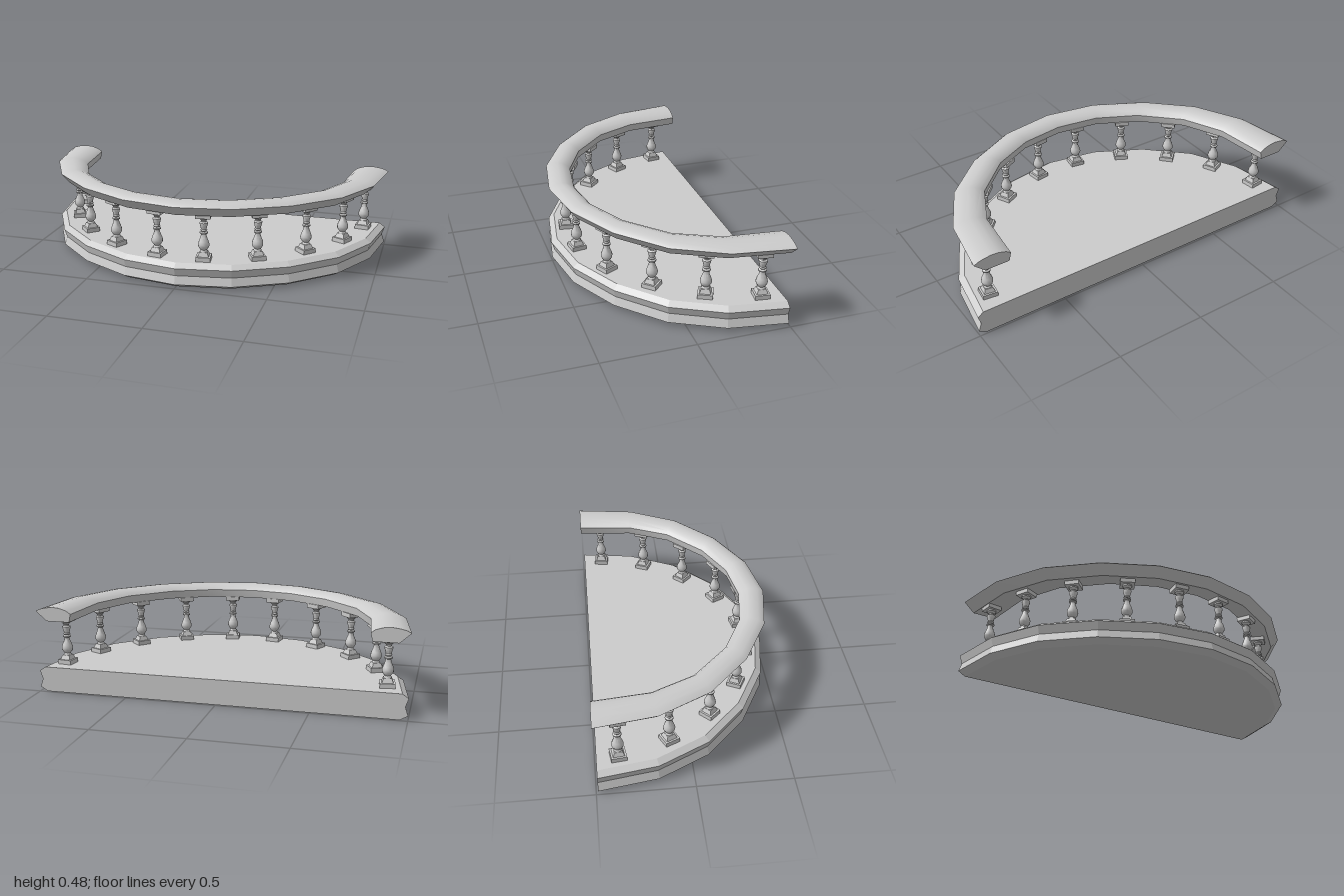
import * as THREE from 'three';
import { toCreasedNormals } from 'three/addons/utils/BufferGeometryUtils.js';

const material = new THREE.MeshStandardMaterial({ color: 0xcccccc });
const flat = new THREE.MeshStandardMaterial({ color: 0xcccccc, flatShading: true });

// Half plan curves [x, z], from the middle of the front to the back corner
const OUTER = [[0, 0.5], [0.3, 0.45], [0.58, 0.305], [0.81, 0.09], [0.95, -0.18], [1, -0.5]];
const INNER = [[0, 0.36], [0.24, 0.325], [0.465, 0.215], [0.665, 0.025], [0.77, -0.2], [0.8, -0.5]];

// Full curve running from the -x end round the front to the +x end
const mirrored = (half) => [
  ...half.slice(1).reverse().map(([x, z]) => [-x, z]),
  ...half,
];

// Skin closed convex rings and cap both ends
function loft(rings) {
  const n = rings[0].length;
  const pos = [];
  const tri = (a, b, c) => pos.push(...a, ...b, ...c);
  for (let i = 0; i < rings.length - 1; i++) {
    for (let j = 0; j < n; j++) {
      const k = (j + 1) % n;
      const [p, q] = [rings[i], rings[i + 1]];
      tri(p[j], p[k], q[k]);
      tri(p[j], q[k], q[j]);
    }
  }
  const first = rings[0];
  const last = rings[rings.length - 1];
  for (let j = 1; j < n - 1; j++) {
    tri(first[0], first[j + 1], first[j]);
    tri(last[0], last[j], last[j + 1]);
  }
  const g = new THREE.BufferGeometry();
  g.setAttribute('position', new THREE.Float32BufferAttribute(pos, 3));
  g.computeVertexNormals();
  return g;
}

function add(parent, name, geometry, mat = material, y = 0) {
  const mesh = new THREE.Mesh(geometry, mat);
  mesh.name = name;
  mesh.position.y = y;
  parent.add(mesh);
  return mesh;
}

// Half-round slab with a grooved edge: [height, plan scale]
function floorSlab() {
  const back = -0.49;
  const profile = [[0, 0.96], [0.024, 1], [0.07, 0.985], [0.115, 1], [0.138, 0.968]];
  return loft(profile.map(([y, s]) => mirrored(OUTER).map(([x, z]) => [
    x * s, y, back + (Math.max(z, back) - back) * s,
  ])));
}

// Handrail section: [0 inner edge .. 1 outer edge, height]
function handrail() {
  const section = [[0.05, 0.4], [0, 0.445], [0.12, 0.462], [0.33, 0.475], [0.52, 0.478],
    [0.75, 0.472], [0.9, 0.464], [1, 0.453], [0.71, 0.4]];
  const outer = mirrored(OUTER);
  const inner = mirrored(INNER);
  const rings = outer.map(([ox, oz], i) => {
    const [ix, iz] = inner[i];
    return section.map(([u, y]) => [ix + (ox - ix) * u, y, iz + (oz - iz) * u]);
  });
  return toCreasedNormals(loft(rings), 0.45);
}

// Turned post: [radius, height]
function turnedPost() {
  const profile = [[0.021, 0.183], [0.021, 0.19], [0.016, 0.196], [0.023, 0.204], [0.03, 0.216],
    [0.031, 0.228], [0.026, 0.245], [0.018, 0.264], [0.014, 0.281], [0.014, 0.284],
    [0.022, 0.288], [0.022, 0.294], [0.014, 0.299], [0.019, 0.306], [0.015, 0.312],
    [0.018, 0.325], [0.023, 0.342], [0.023, 0.347], [0.015, 0.353], [0.015, 0.359],
    [0.025, 0.37], [0.025, 0.38]];
  const points = profile.map(([r, y]) => new THREE.Vector2(r, y));
  return toCreasedNormals(new THREE.LatheGeometry(points, 12), 0.7);
}

export function createModel() {
  const model = new THREE.Group();
  model.name = 'balcony';
  add(model, 'floorSlab', floorSlab(), flat);
  add(model, 'handrail', handrail());

  // Shared baluster parts
  const post = turnedPost();
  const block = new THREE.BoxGeometry(0.079, 0.024, 0.079);
  const foot = new THREE.CylinderGeometry(0.021 * Math.SQRT2, 0.03 * Math.SQRT2, 0.024, 4);
  foot.rotateY(Math.PI / 4);

  // Balusters, mirrored left and right, each square to the curve
  const spots = [[0.13, 0.385], [0.4, 0.29], [0.628, 0.115], [0.795, -0.115], [0.882, -0.38]];
  for (const side of [-1, 1]) {
    for (const [x, z] of spots) {
      const baluster = new THREE.Group();
      baluster.name = 'baluster';
      add(baluster, 'plinth', block, flat, 0.15);
      add(baluster, 'foot', foot, flat, 0.173);
      add(baluster, 'post', post);
      add(baluster, 'cap', block, flat, 0.39);
      baluster.position.set(side * x, 0, z);
      baluster.rotation.y = Math.atan2(side * x, z + 0.49);
      model.add(baluster);
    }
  }
  return model;
}
